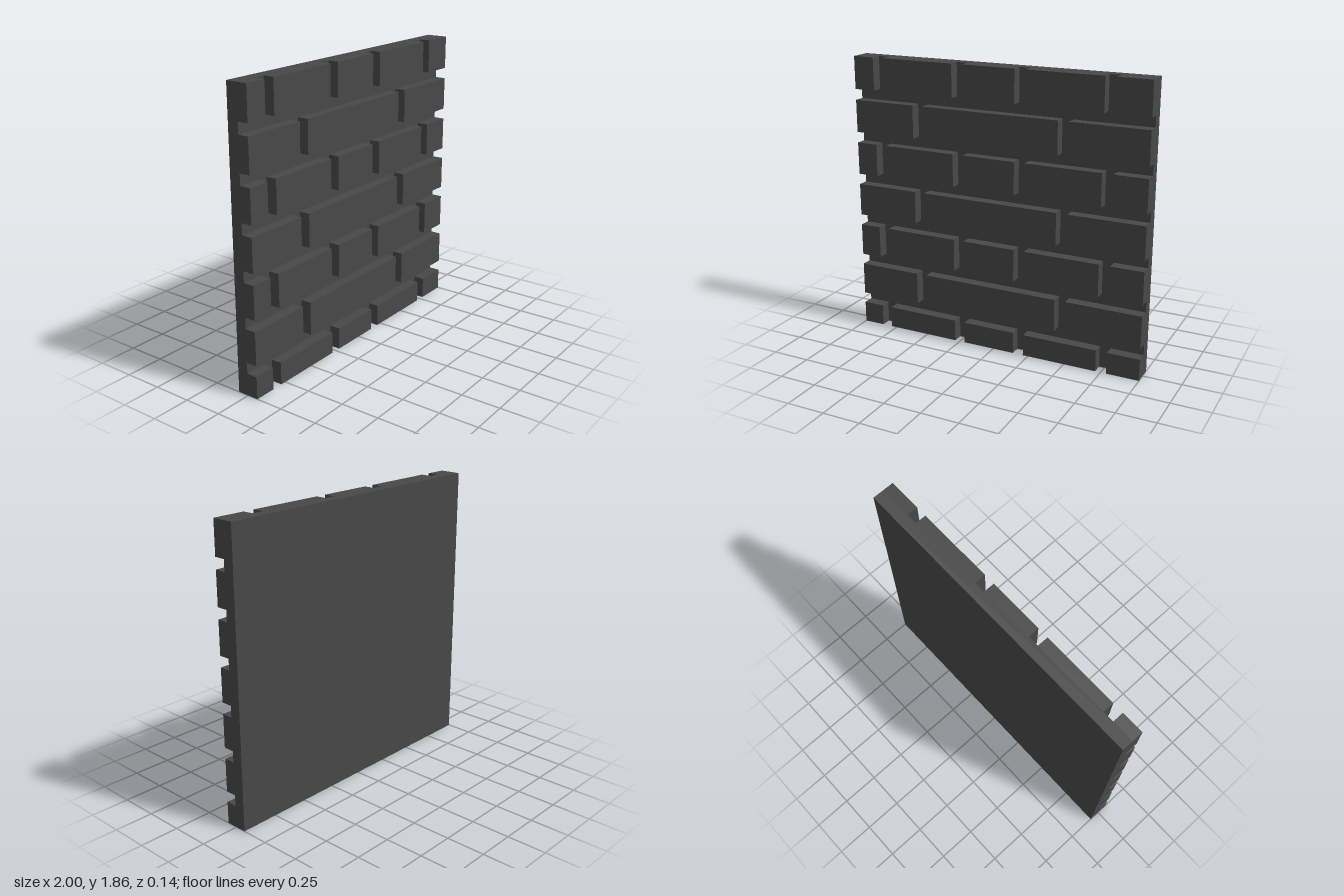
import * as THREE from 'three';

// Everything sits on a grid of 28 modules across the 2-unit width
const M = 1 / 14;
const HALF = 14, HEIGHT = 26;

// Start and end of each brick along x, in modules
const SHORT_COURSE = [[-14, -12], [-11, -4], [-3, 2], [3, 10], [11, 14]];
const LONG_COURSE = [[-14, -8], [-7, 6], [7, 14]];

export function createModel() {
  const wall = new THREE.Group();
  wall.name = 'brickWall';
  const stone = new THREE.MeshStandardMaterial({ color: 0x484848 });
  stone.name = 'darkGrey';

  const addBlock = (parent, name, x0, x1, y0, y1, z0, z1) => {
    const geometry = new THREE.BoxGeometry((x1 - x0) * M, (y1 - y0) * M, (z1 - z0) * M);
    const mesh = new THREE.Mesh(geometry, stone);
    mesh.name = name;
    mesh.position.set((x0 + x1) / 2 * M, (y0 + y1) / 2 * M, (z0 + z1) / 2 * M);
    parent.add(mesh);
  };

  // Backing slab, whose front shows as the mortar joints
  addBlock(wall, 'backSlab', -HALF, HALF, 0, HEIGHT, -1, 0);

  // Seven alternating courses; the bottom one is cut off by the floor
  for (let row = 0; row < 7; row++) {
    const course = new THREE.Group();
    course.name = `course${row + 1}`;
    const bottom = Math.max(0, row * 4 - 1);
    const top = row * 4 + 2;
    for (const [x0, x1] of row % 2 ? LONG_COURSE : SHORT_COURSE) {
      addBlock(course, 'brick', x0, x1, bottom, top, 0, 1);
    }
    wall.add(course);
  }
  return wall;
}
